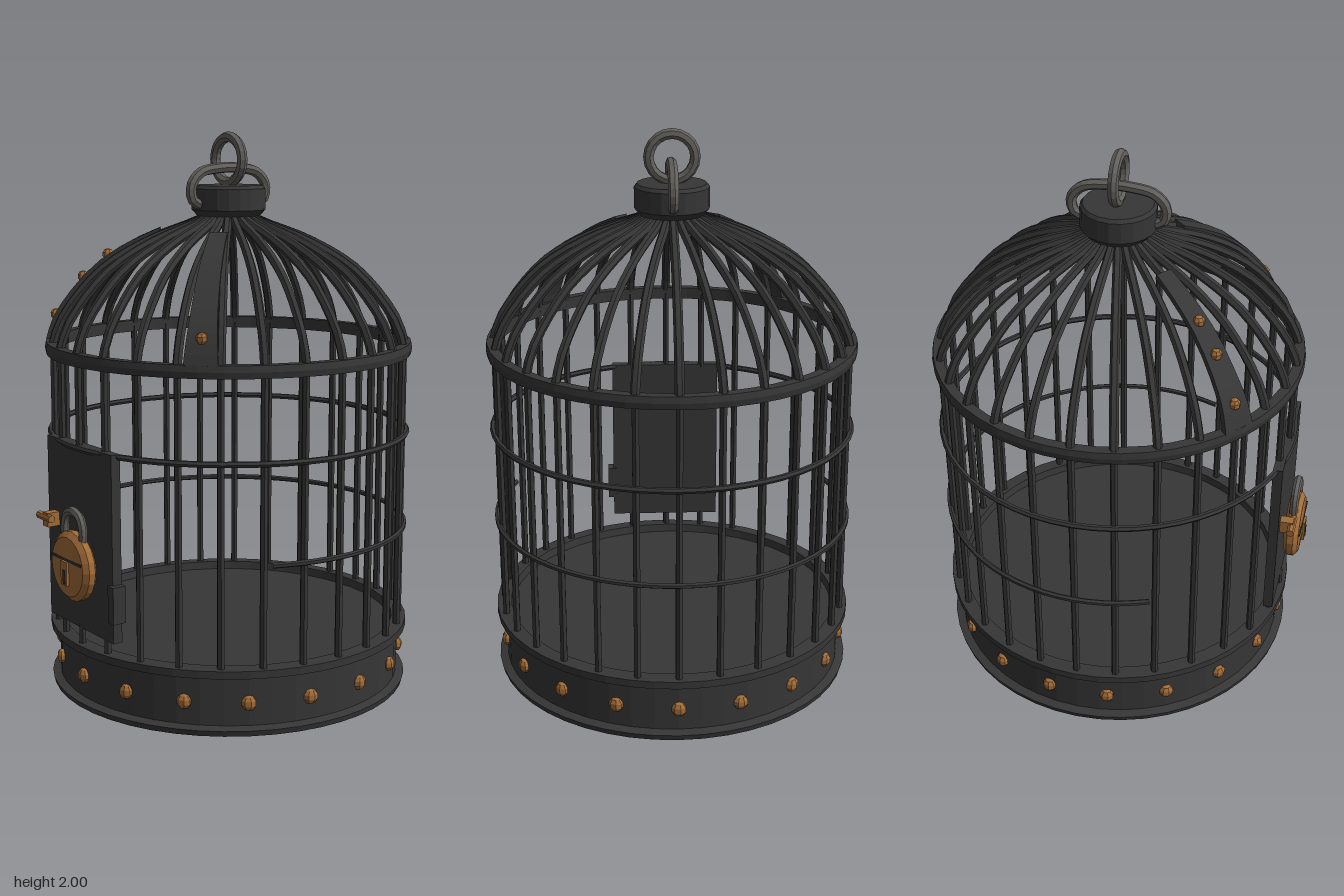
import * as THREE from 'three';

const mat = (name, color, extra = {}) => {
  const m = new THREE.MeshStandardMaterial({ color, flatShading: true, ...extra });
  m.name = name;
  return m;
};

export function createModel() {
  const iron = mat('black iron', 0x363636);
  const brass = mat('brass', 0xa26c38);
  const steel = mat('grey steel', 0x62605c);
  const root = new THREE.Group();
  root.name = 'birdcage';
  const cage = new THREE.Group();
  cage.name = 'cage';
  cage.position.z = -0.03;
  root.add(cage);

  const add = (name, geo, material, x = 0, y = 0, z = 0, parent = cage) => {
    const mesh = new THREE.Mesh(geo, material);
    mesh.name = name;
    mesh.position.set(x, y, z);
    parent.add(mesh);
    return mesh;
  };
  const lathe = (pts, seg = 48) =>
    new THREE.LatheGeometry(pts.map(p => new THREE.Vector2(p[0], p[1])), seg);
  const tube = (pts, r, seg = 24, sides = 6) => new THREE.TubeGeometry(
    new THREE.CatmullRomCurve3(pts.map(p => new THREE.Vector3(...p))), seg, r, sides);

  // Base drum with flanges and a floor
  add('base', lathe([[0, 0], [0.655, 0], [0.66, 0.02], [0.63, 0.028], [0.63, 0.2],
    [0.662, 0.205], [0.662, 0.232], [0.61, 0.235], [0.605, 0.205], [0, 0.2]]), iron);

  // Rivets around the base
  for (let i = 0; i < 18; i++) {
    const a = i * Math.PI / 9;
    const rivet = add('baseRivet', new THREE.SphereGeometry(0.027, 7, 5), brass,
      Math.sin(a) * 0.633, 0.11, Math.cos(a) * 0.633);
    rivet.rotation.y = a;
    rivet.scale.z = 0.75;
  }

  // Upright bars and dome ribs
  const profile = new THREE.CatmullRomCurve3([[0.642, 1.24], [0.617, 1.32], [0.572, 1.395],
    [0.458, 1.52], [0.3, 1.615], [0.12, 1.685], [0.05, 1.72]].map(p => new THREE.Vector3(p[0], p[1], 0)));
  const BARS = 28;
  const ribGeo = new THREE.TubeGeometry(profile, 14, 0.016, 6);
  const bar = (a, y0, y1) => add('bar', new THREE.CylinderGeometry(0.0135, 0.0135, y1 - y0, 6), iron,
    Math.sin(a) * 0.635, (y0 + y1) / 2, Math.cos(a) * 0.635);
  for (let i = 0; i < BARS; i++) {
    const a = i / BARS * Math.PI * 2;
    const behindDoor = i <= 1 || i === BARS - 1;
    if (behindDoor) {
      bar(a, 0.2, 0.3);
      bar(a, 0.93, 1.24);
    } else bar(a, 0.2, 1.24);
    add('domeRib', ribGeo, iron).rotation.y = a - Math.PI / 2;
  }

  // Hoops: a heavy one under the dome, a thin one, and an open one low at the back
  add('domeHoop', lathe([[0.625, 1.218], [0.66, 1.218], [0.664, 1.24], [0.66, 1.262],
    [0.625, 1.262], [0.625, 1.218]]), iron);
  const upper = add('upperHoop', new THREE.TorusGeometry(0.65, 0.011, 6, 56), iron, 0, 0.935, 0);
  upper.rotation.x = Math.PI / 2;
  const arc = [];
  for (let i = 0; i <= 24; i++) {
    const a = -0.41 + (Math.PI + 0.82) * i / 24;
    arc.push([Math.cos(a) * 0.648, 0.59, -Math.sin(a) * 0.648]);
  }
  add('lowerHoop', tube(arc, 0.01, 48), iron);

  // Riveted straps that follow the dome
  const onDome = (t, lift) => {
    const p = profile.getPoint(t), d = profile.getTangent(t);
    return new THREE.Vector2(p.x + d.y * lift, p.y - d.x * lift);
  };
  const strap = (angle, t0, t1, rivets) => {
    const g = new THREE.Group();
    g.name = 'domeStrap';
    g.rotation.y = angle;
    cage.add(g);
    const geo = new THREE.BoxGeometry(1, 1, 1, 1, 10, 1);
    const pos = geo.attributes.position;
    for (let i = 0; i < pos.count; i++) {
      const v = pos.getY(i) + 0.5;
      const p = onDome(t0 + (t1 - t0) * v, 0.012 + pos.getZ(i) * 0.02);
      pos.setXYZ(i, pos.getX(i) * (0.115 - 0.055 * v), p.y, p.x);
    }
    geo.computeVertexNormals();
    add('strapPlate', geo, iron, 0, 0, 0, g);
    for (const t of rivets) {
      const p = onDome(t, 0.022);
      add('strapRivet', new THREE.SphereGeometry(0.021, 7, 5), brass, 0, p.y, p.x, g);
    }
  };
  strap(-0.68, 0.03, 0.72, [0.2, 0.43, 0.54]);
  strap(0.8, 0.03, 0.72, [0.2]);

  // Cap, hanging ring and staple
  add('cap', lathe([[0, 1.685], [0.1, 1.69], [0.132, 1.725], [0.132, 1.8], [0.122, 1.812], [0, 1.812]], 20), iron);
  add('hangingRing', new THREE.TorusGeometry(0.08, 0.019, 7, 20), steel, 0, 1.901, 0);
  add('staple', tube([[0, 1.745, 0.12], [0, 1.76, 0.155], [0, 1.81, 0.163], [0, 1.855, 0.125],
    [0, 1.871, 0.05], [0, 1.871, -0.05], [0, 1.855, -0.125], [0, 1.81, -0.163],
    [0, 1.76, -0.155], [0, 1.745, -0.12]], 0.019, 28, 7), steel);

  // Door with hinge and latch
  const door = new THREE.Group();
  door.name = 'door';
  root.add(door);
  add('doorPlate', new THREE.BoxGeometry(0.425, 0.655, 0.035), iron, 0.005, 0.617, 0.595, door);
  add('hinge', new THREE.BoxGeometry(0.035, 0.13, 0.05), iron, 0.222, 0.43, 0.6, door);
  add('latchPlate', new THREE.BoxGeometry(0.035, 0.05, 0.05), brass, -0.15, 0.655, 0.635, door);
  add('latchPin', new THREE.CylinderGeometry(0.014, 0.014, 0.09, 7), brass, -0.158, 0.662, 0.655, door)
    .rotation.z = Math.PI / 2;

  // Padlock: domed round body, shackle and keyhole cover
  const lock = new THREE.Group();
  lock.name = 'padlock';
  lock.position.set(0.02, 0.525, 0.65);
  root.add(lock);
  add('lockBody', lathe([[0, -0.032], [0.105, -0.03], [0.124, -0.015], [0.124, 0.008],
    [0.105, 0.024], [0, 0.03]], 20), brass, 0, 0, 0, lock).rotation.x = Math.PI / 2;
  add('shackle', tube([[-0.058, 0.07, 0], [-0.06, 0.14, 0], [-0.042, 0.178, 0], [0, 0.193, 0],
    [0.042, 0.178, 0], [0.06, 0.14, 0], [0.058, 0.07, 0]], 0.016, 18, 7), steel, 0, 0, -0.005, lock);
  add('lockBand', new THREE.BoxGeometry(0.2, 0.008, 0.008), iron, 0, 0.026, 0.026, lock);
  add('keyholeCover', new THREE.BoxGeometry(0.04, 0.085, 0.009), brass, 0, -0.02, 0.034, lock);
  add('keyhole', new THREE.BoxGeometry(0.013, 0.05, 0.004), iron, 0.004, -0.032, 0.039, lock);

  return root;
}
